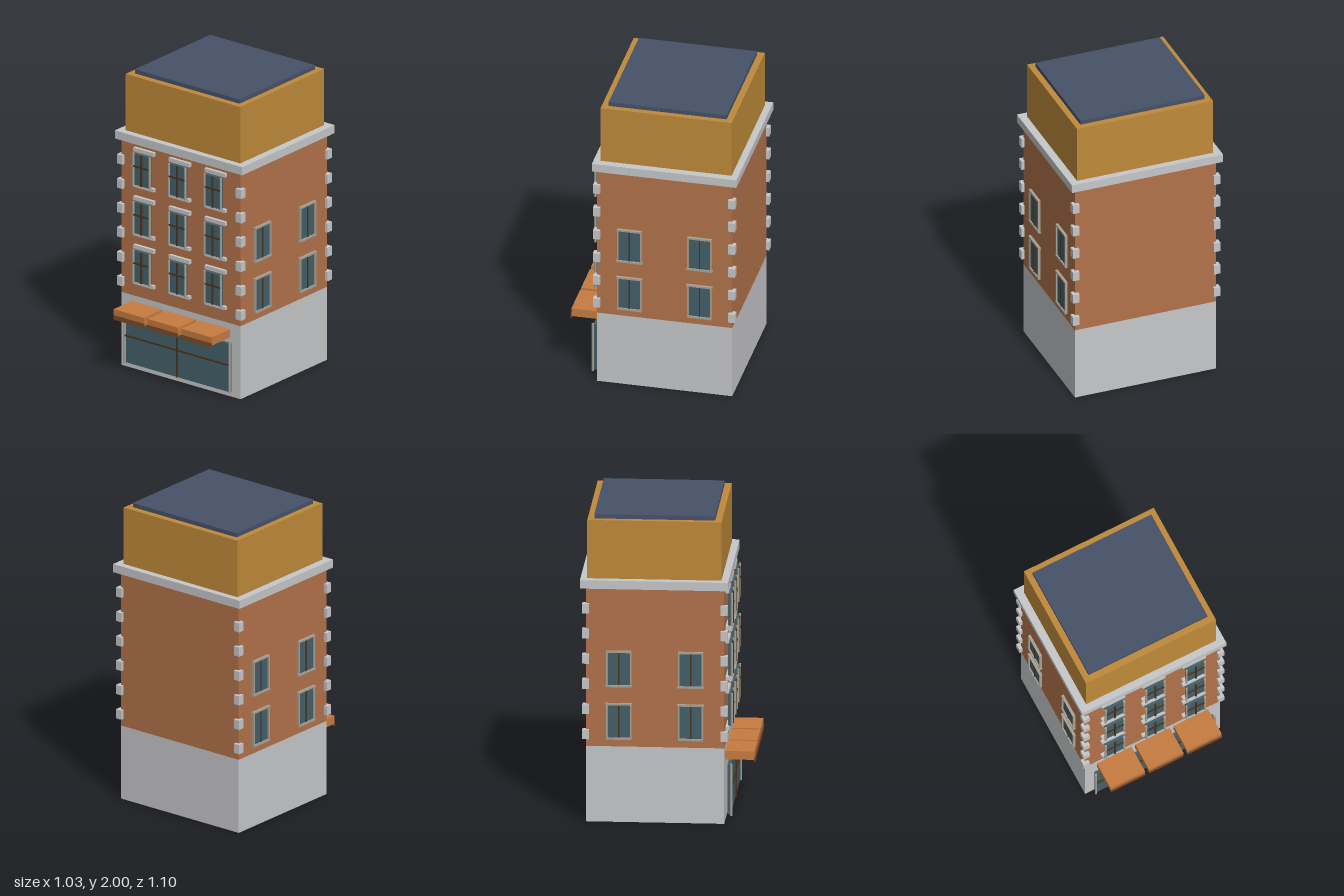
import * as THREE from 'three';

const mat = (name, color) => {
  const m = new THREE.MeshStandardMaterial({ color });
  m.name = name;
  return m;
};

export function createModel() {
  const stone = mat('pale stone', 0xc6c7c9);
  const brick = mat('brick', 0xb2724a);
  const ochre = mat('ochre attic', 0xbf8a3a);
  const slate = mat('slate blue roof', 0x465268);
  const glass = mat('window glass', 0x44606a);
  const wood = mat('dark wood', 0x47331f);
  const trim = mat('window trim', 0xa8a294);
  const canvas = mat('awning orange', 0xc67b40);
  const valance = mat('awning valance', 0x7d4a26);

  const model = new THREE.Group();
  model.name = 'cornerBuilding';

  // Box given by its minimum and maximum on each axis
  const box = (parent, name, material, x0, x1, y0, y1, z0, z1) => {
    const mesh = new THREE.Mesh(new THREE.BoxGeometry(x1 - x0, y1 - y0, z1 - z0), material);
    mesh.position.set((x0 + x1) / 2, (y0 + y1) / 2, (z0 + z1) / 2);
    mesh.name = name;
    parent.add(mesh);
    return mesh;
  };
  // Upright round post
  const post = (parent, name, material, x, y0, y1, z, r) => {
    const mesh = new THREE.Mesh(new THREE.CylinderGeometry(r, r, y1 - y0, 8), material);
    mesh.position.set(x, (y0 + y1) / 2, z);
    mesh.name = name;
    parent.add(mesh);
  };
  const group = (name, x = 0, y = 0, z = 0) => {
    const g = new THREE.Group();
    g.name = name;
    g.position.set(x, y, z);
    model.add(g);
    return g;
  };

  const W = 0.48, F = 0.362, B = -0.515;

  // Main volumes
  box(model, 'groundFloor', stone, -W, W, 0, 0.495, B, F);
  box(model, 'brickFloors', brick, -W, W, 0.495, 1.535, B, F);
  box(model, 'cornice', stone, -0.514, 0.514, 1.535, 1.59, -0.55, 0.388);
  box(model, 'attic', ochre, -0.463, 0.463, 1.59, 1.972, -0.507, 0.343);
  box(model, 'roofSlab', slate, -0.423, 0.423, 1.972, 2, -0.465, 0.3);

  // Corner stones
  const quoins = group('cornerStones');
  for (const x of [-W, W]) for (const z of [B, F]) for (let i = 0; i < 6; i++) {
    const y = 0.575 + i * 0.165;
    box(quoins, 'cornerStone', stone, x - 0.022, x + 0.022, y - 0.031, y + 0.031, z - 0.022, z + 0.022);
  }

  // Front windows, standing slightly clear of the wall
  for (let row = 0; row < 3; row++) for (let col = -1; col <= 1; col++) {
    const g = group('frontWindow', col * 0.288, 0.606 + row * 0.329, F);
    box(g, 'lintel', stone, -0.083, 0.083, 0.218, 0.244, 0, 0.022);
    box(g, 'sill', stone, -0.083, 0.083, -0.022, 0, 0, 0.022);
    box(g, 'pane', glass, -0.063, 0.063, 0.003, 0.213, 0.016, 0.038);
    box(g, 'mullion', wood, -0.005, 0.005, 0.003, 0.213, 0.038, 0.047);
    box(g, 'transom', wood, -0.063, 0.063, 0.125, 0.135, 0.038, 0.047);
    for (const s of [-1, 1]) post(g, 'jamb', trim, s * 0.066, -0.002, 0.216, 0.04, 0.008);
  }

  // Side windows, built facing +z and turned to each side
  for (const s of [-1, 1]) for (const z of [0.15, -0.305]) for (const upper of [0, 1]) {
    const g = group('sideWindow', s * W, upper ? 0.892 : 0.548, z);
    g.rotation.y = s * Math.PI / 2;
    box(g, 'pane', glass, -0.072, 0.072, 0.007, 0.222, 0, 0.008);
    box(g, 'mullion', wood, -0.004, 0.004, 0.007, 0.222, 0.008, 0.013);
    for (const e of [-1, 1]) box(g, 'jamb', trim, e * 0.075 - 0.005, e * 0.075 + 0.005, 0, 0.228, 0, 0.017);
    const top = upper ? 0.08 : 0.085, low = upper ? 0.085 : 0.08;
    box(g, 'head', trim, -top, top, 0.22, 0.232, 0, 0.018);
    box(g, 'sill', trim, -low, low, -0.005, 0.008, 0, 0.018);
  }

  // Shop window
  const shop = group('shopWindow', 0, 0, F);
  box(shop, 'pane', glass, -0.42, 0.42, 0.045, 0.372, 0.016, 0.038);
  box(shop, 'mullion', wood, -0.005, 0.005, 0.045, 0.372, 0.038, 0.047);
  box(shop, 'transom', wood, -0.42, 0.42, 0.224, 0.234, 0.038, 0.047);
  for (const s of [-1, 1]) post(shop, 'jamb', trim, s * 0.423, 0.038, 0.378, 0.04, 0.008);

  // Awnings
  for (const x of [-0.273, 0, 0.273]) {
    const g = group('awning', x, 0, F);
    box(g, 'canopy', canvas, -0.123, 0.123, 0.4, 0.455, 0, 0.186);
    box(g, 'valance', valance, -0.123, 0.123, 0.386, 0.416, 0.183, 0.19);
  }

  return model;
}
